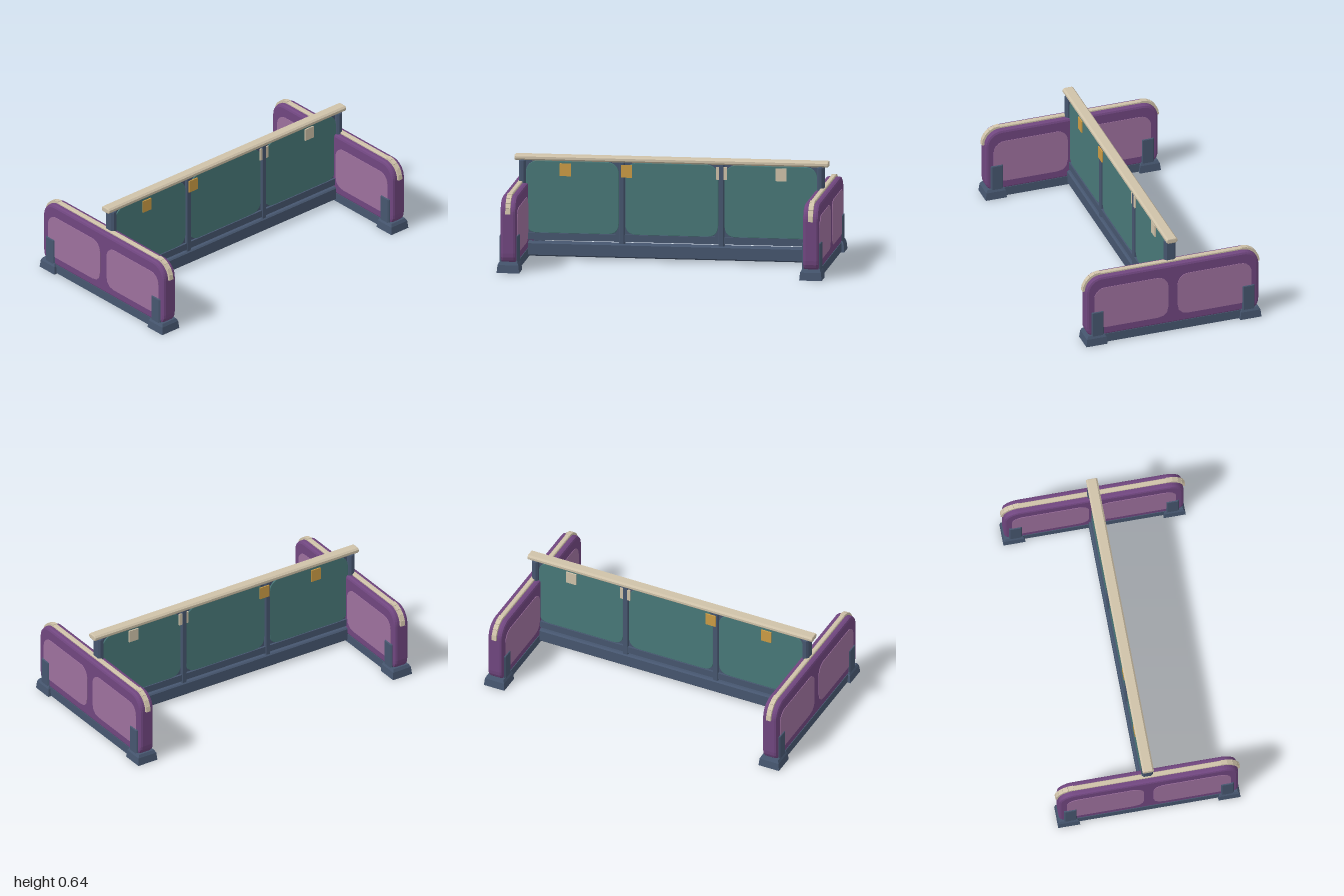
import * as THREE from 'three';

const material = (name, color) => {
  const m = new THREE.MeshStandardMaterial({ color });
  m.name = name;
  return m;
};

// Rounded rectangle outline; r is the top radius, rb the bottom radius
function roundedRect(x0, y0, x1, y1, r, rb = r) {
  const s = new THREE.Shape();
  s.moveTo(x0 + rb, y0);
  s.lineTo(x1 - rb, y0);
  s.quadraticCurveTo(x1, y0, x1, y0 + rb);
  s.lineTo(x1, y1 - r);
  s.absarc(x1 - r, y1 - r, r, 0, Math.PI / 2);
  s.lineTo(x0 + r, y1);
  s.absarc(x0 + r, y1 - r, r, Math.PI / 2, Math.PI);
  s.lineTo(x0, y0 + rb);
  s.quadraticCurveTo(x0, y0, x0 + rb, y0);
  return s;
}

// Extrusion centred on z = 0 with total thickness t and edge bevel b
function slab(shape, t, b = 0, curveSegments = 5) {
  const g = new THREE.ExtrudeGeometry(shape, {
    depth: t - 2 * b, bevelEnabled: b > 0, bevelSize: b, bevelOffset: -b,
    bevelThickness: b, bevelSegments: 2, curveSegments,
  });
  return g.translate(0, 0, -(t - 2 * b) / 2);
}

// Box with chamfered long edges: w x h section, extruded along z
function bar(w, h, length, b) {
  const s = new THREE.Shape();
  const x = w / 2, y = h / 2;
  [[-x + b, -y], [x - b, -y], [x, -y + b], [x, y - b], [x - b, y], [-x + b, y], [-x, y - b], [-x, -y + b]]
    .forEach(([px, py], i) => (i ? s.lineTo(px, py) : s.moveTo(px, py)));
  return slab(s, length, Math.min(b * 0.6, 0.008));
}

export function createModel() {
  const model = new THREE.Group();
  model.name = 'bench';
  const navy = material('navy frame', 0x46566f);
  const purple = material('purple panel', 0x70467f);
  const mauve = material('mauve inset', 0x9d709d);
  const teal = material('teal panel', 0x487878);
  const cream = material('cream trim', 0xcfc2a9);
  const gold = material('gold tag', 0xcc9c45);

  const add = (parent, name, geometry, mat, x = 0, y = 0, z = 0) => {
    const mesh = new THREE.Mesh(geometry, mat);
    mesh.name = name;
    mesh.position.set(x, y, z);
    parent.add(mesh);
    return mesh;
  };
  const alongX = (w, h, l, b) => bar(w, h, l, b).rotateY(Math.PI / 2);
  const upright = (w, d, l, b) => bar(w, d, l, b).rotateX(Math.PI / 2);

  // Central divider: rails and posts
  const divider = new THREE.Group();
  divider.name = 'divider';
  model.add(divider);
  add(divider, 'topRail', alongX(0.07, 0.034, 1.925, 0.01), cream, 0, 0.62);
  add(divider, 'bottomBeam', alongX(0.066, 0.086, 1.8, 0.008), navy, 0, 0.057);
  add(divider, 'lowerRail', new THREE.BoxGeometry(1.82, 0.044, 0.044), navy, 0, 0.134);
  for (const x of [-0.914, 0.914]) add(divider, 'endPost', upright(0.042, 0.07, 0.56, 0.012), navy, x, 0.326);
  for (const x of [-0.305, 0.305]) add(divider, 'middlePost', upright(0.036, 0.052, 0.51, 0.006), navy, x, 0.35);

  // Three rounded panels on thin backing sheets
  for (const x of [-0.609, 0, 0.609]) {
    add(divider, 'panelBacking', new THREE.BoxGeometry(0.59, 0.46, 0.016), navy, x, 0.378);
    add(divider, 'panel', slab(roundedRect(-0.285, 0.155, 0.285, 0.6, 0.07), 0.03, 0.003), teal, x);
  }

  // Small tags on both faces
  const tags = [[-0.65, gold, 0.029], [-0.275, gold, 0.029], [0.307, cream, 0.02], [0.672, cream, 0.02]];
  for (const [x, mat, z] of tags) {
    for (const s of [-1, 1]) add(divider, 'tag', new THREE.BoxGeometry(0.068, 0.078, 0.008), mat, x, 0.55, s * z);
  }

  // Tapered foot
  const foot = new THREE.BoxGeometry(0.138, 0.066, 0.136, 1, 2, 1);
  const p = foot.attributes.position;
  for (let i = 0; i < p.count; i++) {
    const y = p.getY(i);
    if (y > 0.01) {
      p.setX(i, p.getX(i) * 0.8);
      p.setZ(i, p.getZ(i) * 0.78);
    } else if (y > -0.01) {
      p.setX(i, p.getX(i) * 0.93);
      p.setZ(i, p.getZ(i) * 0.92);
      p.setY(i, 0.015);
    }
  }
  const footGeometry = foot.toNonIndexed();
  footGeometry.computeVertexNormals();

  // End panels
  for (const side of [-1, 1]) {
    const end = new THREE.Group();
    end.name = side > 0 ? 'leftEnd' : 'rightEnd';
    end.position.x = side * 0.928;
    model.add(end);

    add(end, 'endPanel', slab(roundedRect(-0.555, 0.05, 0.555, 0.462, 0.1, 0.07), 0.096, 0.016)
      .rotateY(-Math.PI / 2), purple);
    add(end, 'baseBeam', new THREE.BoxGeometry(0.1, 0.056, 1.06), navy, 0, 0.032);

    for (const s of [-1, 1]) {
      for (const face of [-1, 1]) {
        add(end, 'inset', slab(roundedRect(-0.238, 0.108, 0.238, 0.387, 0.07), 0.008, 0, 3)
          .rotateY(-Math.PI / 2), mauve, face * 0.047, 0, s * 0.268);
      }
      add(end, 'foot', footGeometry, navy, 0, 0.033, s * 0.495);
      add(end, 'bracket', upright(0.116, 0.08, 0.18, 0.008), navy, 0, 0.135, s * 0.485);

      // Short trim blocks around the top corner
      for (let i = 0; i < 5; i++) {
        const a = (i + 0.5) / 5 * Math.PI / 2;
        const block = add(end, 'cornerTrim', new THREE.BoxGeometry(0.03, 0.016, 0.034), cream,
          0, 0.362 + Math.cos(a) * 0.106, s * (0.455 + Math.sin(a) * 0.106));
        block.rotation.x = s * a;
      }
    }
    add(end, 'topTrim', bar(0.03, 0.016, 0.93, 0.004), cream, 0, 0.466);
  }
  return model;
}
